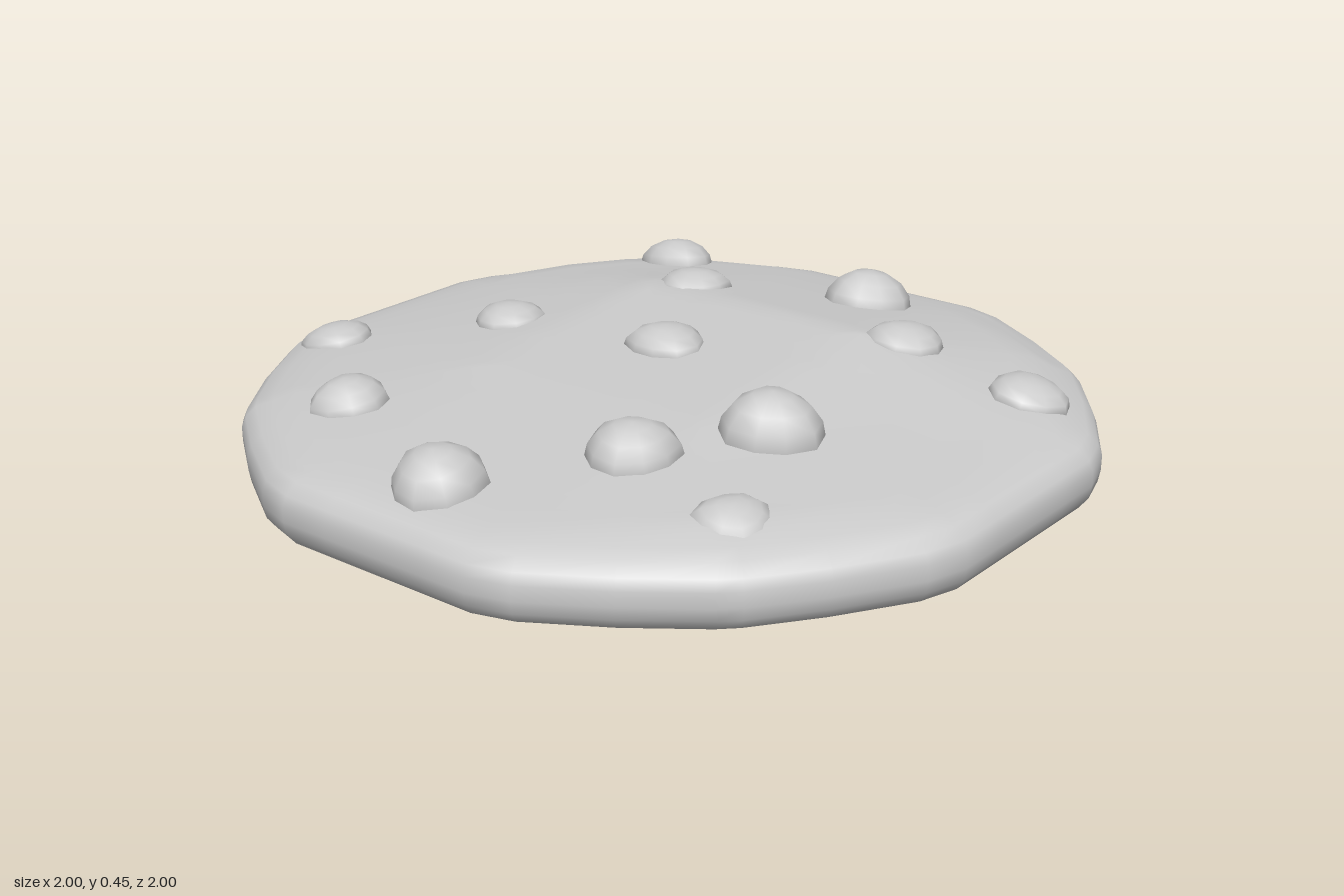
import * as THREE from 'three';
import { mergeVertices } from 'three/addons/utils/BufferGeometryUtils.js';

const { lerp, clamp } = THREE.MathUtils;

// One quarter of the rounded twelve-sided outline
const quarter = [[1, 0], [1, 0.14], [1, 0.27], [0.97, 0.37], [0.86, 0.55], [0.75, 0.7], [0.71, 0.74],
  [0.55, 0.86], [0.37, 0.97], [0.27, 1], [0.14, 1]];

function makeOutline() {
  const points = [];
  for (let q = 0; q < 4; q++) {
    const c = [1, 0, -1, 0][q], s = [0, 1, 0, -1][q];
    quarter.forEach(([x, z]) => points.push([x * c - z * s, x * s + z * c]));
  }
  return points;
}

// Flat middle that falls away towards the rim
function crown(v) {
  const a = Math.abs(v);
  if (a < 0.33) return 1;
  if (a < 0.7) return lerp(1, 0.42, (a - 0.33) / 0.37);
  return lerp(0.42, 0, clamp((a - 0.7) / 0.23, 0, 1));
}

// Height of the top surface, higher at the back
function topHeight(x, z) {
  const rise = lerp(0.105, 0.057, clamp((z + 0.35) / 0.7, 0, 1));
  return 0.3 + crown(x) * crown(z) * rise;
}

// Rings [scale, height] from the underside round the rim; a null height follows the top
function makeBody() {
  const rings = [[0, 0], [0.33, 0.003], [0.4, 0.01], [0.65, 0.055], [0.93, 0.122], [0.975, 0.143],
    [0.995, 0.17], [1, 0.2], [1, 0.235], [0.99, 0.26], [0.965, 0.285], [0.925, 0.298]];
  for (let s = 0.87; s > 0.03; s -= 0.06) rings.push([s, null]);
  rings.push([0, null]);
  const outline = makeOutline(), n = outline.length;
  const positions = [], index = [];
  rings.forEach(([s, y], r) => {
    outline.forEach(([ox, oz], i) => {
      const x = ox * s, z = oz * s;
      positions.push(x, y === null ? topHeight(x, z) : y, z);
      if (r === 0) return;
      const a = (r - 1) * n + i, b = (r - 1) * n + (i + 1) % n;
      if (r > 1) index.push(a, a + n, b);
      if (r < rings.length - 1) index.push(b, a + n, b + n);
    });
  });
  // Close the final ring onto the centre point
  const last = (rings.length - 2) * n;
  for (let i = 0; i < n; i++) index.push(last + i, last + n, last + (i + 1) % n);
  const geometry = new THREE.BufferGeometry();
  geometry.setAttribute('position', new THREE.Float32BufferAttribute(positions, 3));
  // Drop the duplicate last fan made by the loop above
  geometry.setIndex(index.slice(0, -3 * n).concat(index.slice(-3 * n)).filter(Number.isFinite));
  const welded = mergeVertices(geometry, 1e-5);
  welded.computeVertexNormals();
  return welded;
}

// Slightly lumpy, coarse dome
function makeChip(seed) {
  let geometry = new THREE.SphereGeometry(1, 10, 8);
  geometry.deleteAttribute('uv');
  geometry.deleteAttribute('normal');
  geometry = mergeVertices(geometry, 1e-4);
  const p = geometry.attributes.position;
  for (let i = 0; i < p.count; i++) {
    const a = Math.atan2(p.getZ(i), p.getX(i));
    const k = 1 + 0.05 * Math.sin(3 * a + seed * 2.1) + 0.03 * Math.cos(2 * a + seed);
    p.setXYZ(i, p.getX(i) * k, p.getY(i), p.getZ(i) * k);
  }
  geometry.computeVertexNormals();
  return geometry;
}

// Chips: x, z, radius, top height
const chips = [
  [-0.52, -0.68, 0.1, 0.395], [0.12, -0.67, 0.112, 0.435], [-0.25, -0.41, 0.095, 0.43],
  [0.41, -0.4, 0.1, 0.425], [0.76, -0.39, 0.102, 0.37], [-0.5, 0.03, 0.095, 0.4],
  [-0.03, -0.02, 0.1, 0.43], [0.46, 0.22, 0.118, 0.45], [0.29, 0.49, 0.108, 0.42],
  [0.62, 0.57, 0.09, 0.348], [-0.45, 0.63, 0.098, 0.385], [0.03, 0.82, 0.112, 0.4],
  [-0.83, 0.32, 0.095, 0.35]];

export function createModel() {
  const group = new THREE.Group();
  group.name = 'cookie';
  const material = new THREE.MeshStandardMaterial({ color: 0xcccccc });

  const body = new THREE.Mesh(makeBody(), material);
  body.name = 'cookieBody';
  group.add(body);

  chips.forEach(([x, z, radius, top], i) => {
    const chip = new THREE.Mesh(makeChip(i), material);
    chip.name = 'chip' + (i + 1);
    const base = Math.min(topHeight(x, z) - 0.01, top - 0.05);
    chip.scale.set(radius, top - base, radius);
    chip.position.set(x, base, z);
    // Lean outwards with the slope of the surface
    const lean = 0.28 * Math.hypot(x, z);
    chip.quaternion.setFromUnitVectors(new THREE.Vector3(0, 1, 0),
      new THREE.Vector3(x * lean, 1, z * lean).normalize());
    group.add(chip);
  });
  return group;
}
